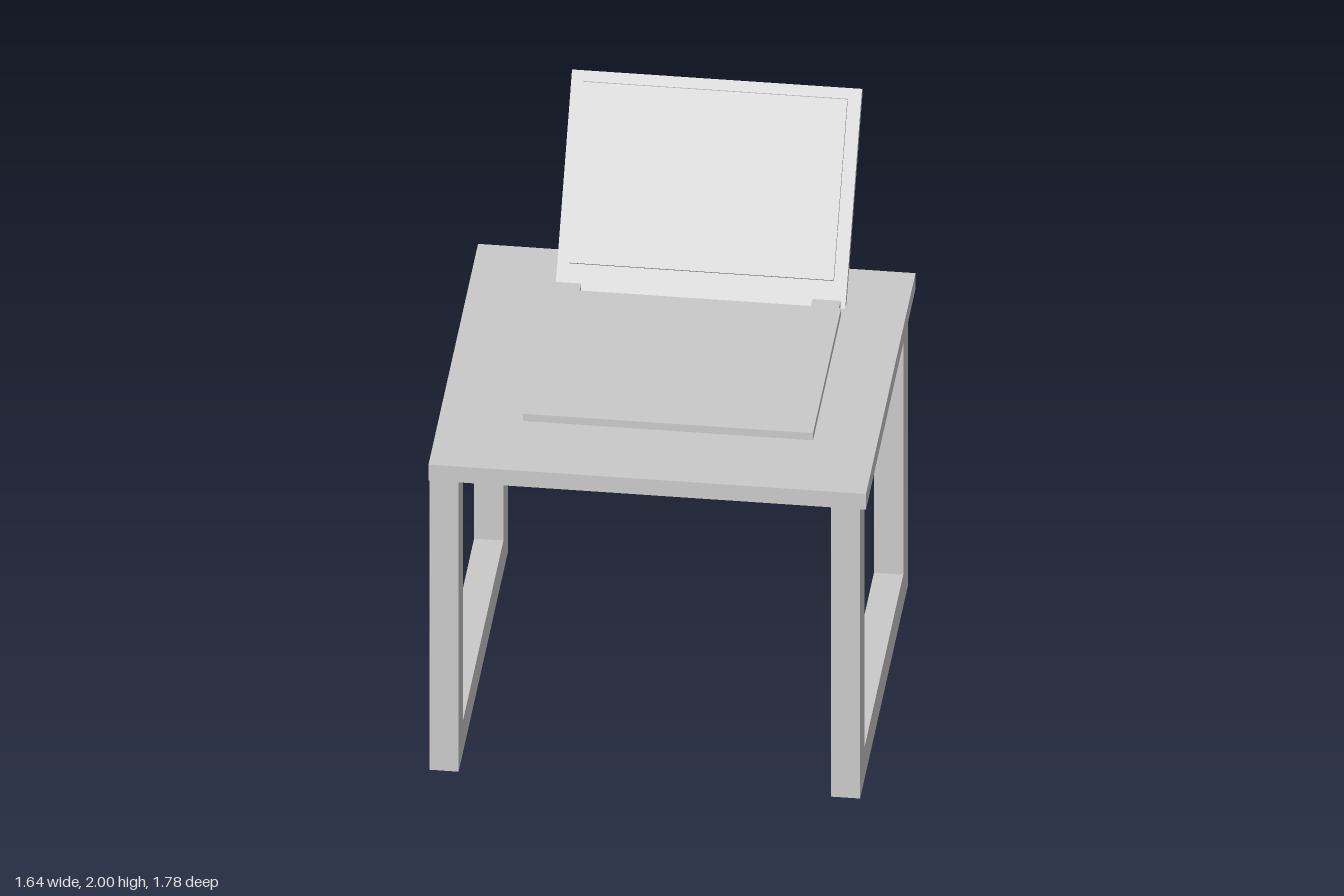
import * as THREE from 'three';

const material = new THREE.MeshStandardMaterial({ color: 0xcccccc, flatShading: true });

function add(group, name, geometry) {
  const mesh = new THREE.Mesh(geometry, material);
  mesh.name = name;
  group.add(mesh);
  return mesh;
}

// Box given by its limits on each axis
function box(group, name, [x0, x1], [y0, y1], [z0, z1]) {
  const geometry = new THREE.BoxGeometry(x1 - x0, y1 - y0, z1 - z0);
  geometry.translate((x0 + x1) / 2, (y0 + y1) / 2, (z0 + z1) / 2);
  return add(group, name, geometry);
}

// Side profile of [z, y] points, extruded from x0 to x1
function sideProfile(group, name, points, x0, x1) {
  const shape = new THREE.Shape(points.map(([z, y]) => new THREE.Vector2(-z, y)));
  const geometry = new THREE.ExtrudeGeometry(shape, { depth: x1 - x0, bevelEnabled: false });
  geometry.rotateY(Math.PI / 2).translate(x0, 0, 0);
  return add(group, name, geometry);
}

// U-shaped leg frame: two uprights joined by a floor rail
function legFrame(group, name, x0, x1, back, backInner) {
  const front = 0.89, frontInner = 0.757, top = 1.285, rail = 0.14;
  return sideProfile(group, name, [
    [front, 0], [back, 0], [back, top], [backInner, top],
    [backInner, rail], [frontInner, rail], [frontInner, top], [front, top],
  ], x0, x1);
}

export function createModel() {
  const model = new THREE.Group();
  model.name = 'deskWithLaptop';

  // Table
  const table = new THREE.Group();
  table.name = 'table';
  box(table, 'tableTop', [-0.82, 0.82], [1.285, 1.355], [-0.625, 0.89]);
  legFrame(table, 'rightLegFrame', -0.817, -0.707, -0.613, -0.48);
  legFrame(table, 'leftLegFrame', 0.688, 0.798, -0.57, -0.43);

  // Laptop base, notched at the back between two hinge tabs
  const laptop = new THREE.Group();
  laptop.name = 'laptop';
  const baseY = [1.355, 1.387];
  box(laptop, 'laptopBase', [-0.507, 0.58], baseY, [-0.307, 0.552]);
  box(laptop, 'rightHingeTab', [-0.502, -0.4], baseY, [-0.355, -0.307]);
  box(laptop, 'leftHingeTab', [0.467, 0.572], baseY, [-0.355, -0.307]);

  // Lid leaning back, with a raised screen panel
  sideProfile(laptop, 'lid',
    [[-0.352, 1.355], [-0.393, 1.355], [-0.89, 1.98], [-0.865, 2]], -0.497, 0.59);
  sideProfile(laptop, 'screen',
    [[-0.402, 1.445], [-0.415, 1.434], [-0.84, 1.968], [-0.825, 1.975]], -0.45, 0.54);

  model.add(table, laptop);
  return model;
}
